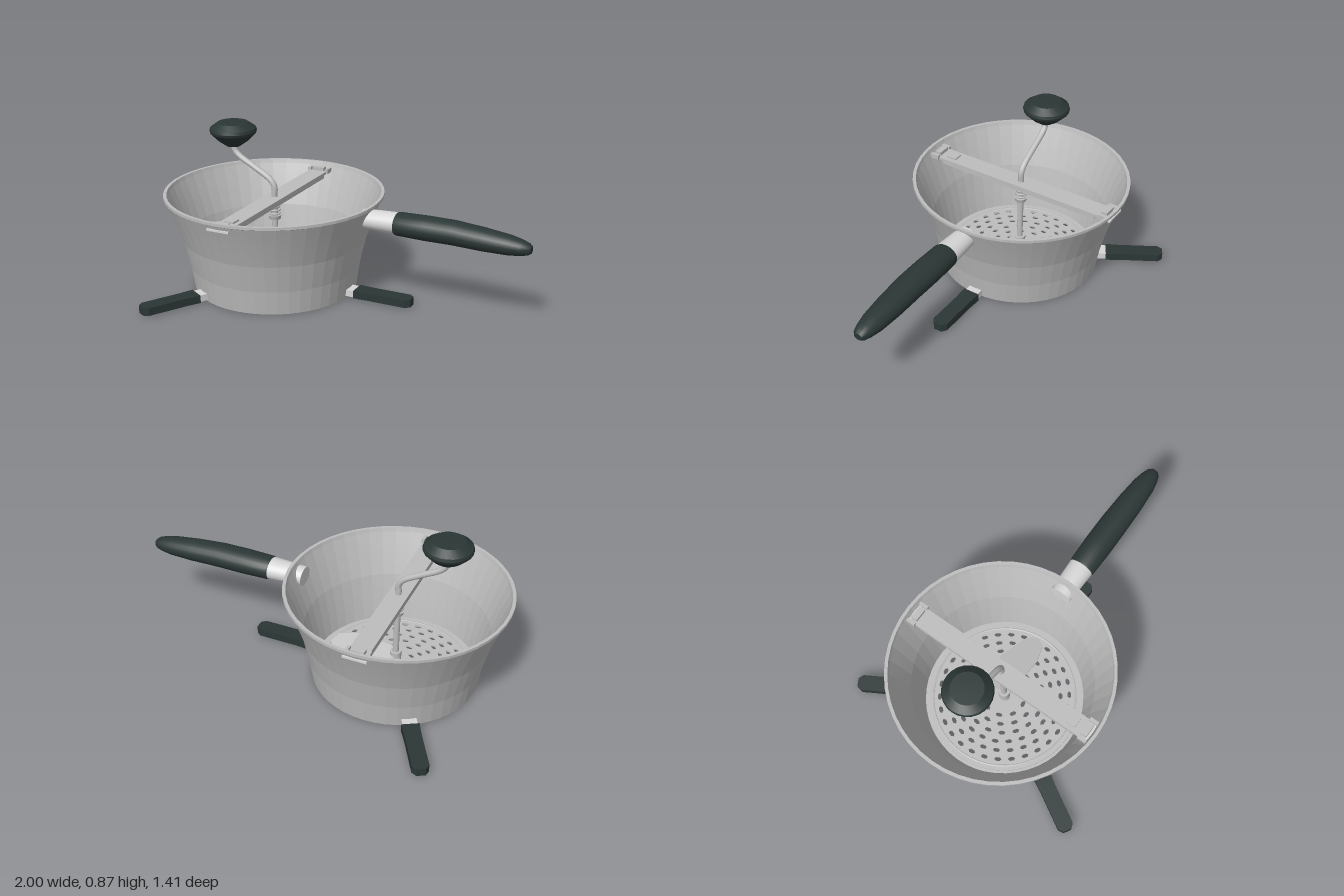
import * as THREE from 'three';
import { toCreasedNormals } from 'three/addons/utils/BufferGeometryUtils.js';

const steel = new THREE.MeshStandardMaterial({ color: 0xbdbdbd });
steel.name = 'steel';
const brightSteel = new THREE.MeshStandardMaterial({ color: 0xd6d6d6 });
brightSteel.name = 'bright steel';
const darkPlastic = new THREE.MeshStandardMaterial({ color: 0x2b3735 });
darkPlastic.name = 'dark plastic';

const CX = -0.415; // bowl axis

function add(parent, name, geometry, material, x = 0, y = 0, z = 0) {
  const mesh = new THREE.Mesh(geometry, material);
  mesh.name = name;
  mesh.position.set(x, y, z);
  parent.add(mesh);
  return mesh;
}

function lathe(points, segments, crease) {
  const profile = points.map(([r, y]) => new THREE.Vector2(r, y));
  return toCreasedNormals(new THREE.LatheGeometry(profile, segments), crease);
}

function plate(points, depth) {
  const shape = new THREE.Shape(points.map(([x, y]) => new THREE.Vector2(x, y)));
  return new THREE.ExtrudeGeometry(shape, { depth, bevelEnabled: false });
}

// Flared bowl: outside wall, rim, inside wall and the ledge holding the disc
function addBowl(mill) {
  add(mill, 'bowl', lathe([
    [0.395, 0], [0.438, 0], [0.457, 0.13], [0.492, 0.28], [0.533, 0.4], [0.575, 0.505],
    [0.585, 0.51], [0.585, 0.525], [0.568, 0.525], [0.562, 0.505], [0.521, 0.4],
    [0.48, 0.28], [0.445, 0.13], [0.427, 0.03], [0.395, 0.03], [0.395, 0],
  ], 48, 0.08), steel);
}

// Perforated disc with rings of small diamond-like holes
function addDisc(mill) {
  const shape = new THREE.Shape();
  shape.absarc(0, 0, 0.41, 0, Math.PI * 2);
  for (let ring = 0; ring < 6; ring++) {
    const r = 0.11 + ring * 0.048;
    const count = Math.round((Math.PI * 2 * r) / 0.074);
    for (let i = 0; i < count; i++) {
      const a = ((i + (ring % 2) / 2) / count) * Math.PI * 2;
      const hole = new THREE.Path();
      for (let k = 0; k < 6; k++) {
        const t = (-k / 6) * Math.PI * 2;
        const u = 0.012 * Math.sin(t);
        const v = 0.02 * Math.cos(t);
        const x = (r + u) * Math.cos(a) - v * Math.sin(a);
        const y = (r + u) * Math.sin(a) + v * Math.cos(a);
        if (k === 0) hole.moveTo(x, y);
        else hole.lineTo(x, y);
      }
      hole.closePath();
      shape.holes.push(hole);
    }
  }
  const geometry = new THREE.ExtrudeGeometry(shape, { depth: 0.008, bevelEnabled: false, curveSegments: 48 });
  geometry.rotateX(-Math.PI / 2);
  add(mill, 'perforatedDisc', geometry, steel, 0, 0.03, 0);
  // Pressed ridge around the holes
  const ridge = new THREE.TorusGeometry(0.385, 0.007, 6, 48).rotateX(Math.PI / 2);
  add(mill, 'discRidge', ridge, steel, 0, 0.034, 0);
  add(mill, 'discHub', new THREE.CylinderGeometry(0.03, 0.03, 0.022, 16), steel, 0, 0.035, 0);
}

// Shaft, collars, sloping blade, bent crank and knob
function addCrank(mill) {
  add(mill, 'shaft', new THREE.CylinderGeometry(0.016, 0.016, 0.48, 16), steel, 0, 0.28, 0);
  add(mill, 'lowerCollar', new THREE.CylinderGeometry(0.03, 0.03, 0.07, 16), steel, 0, 0.09, 0);
  for (let i = 0; i < 4; i++) {
    const coil = new THREE.TorusGeometry(0.026, 0.006, 6, 16).rotateX(Math.PI / 2);
    add(mill, 'springCoil', coil, steel, 0, 0.455 - i * 0.02, 0);
  }
  add(mill, 'upperCollar', new THREE.CylinderGeometry(0.036, 0.03, 0.022, 16), steel, 0, 0.375, 0);

  const blade = plate([
    [0, 0.08], [0.055, 0.13], [0.158, 0.15], [0.329, 0.085], [0.355, 0.03],
    [0.329, -0.02], [0.235, -0.05], [0.055, -0.035], [0, -0.03],
  ], 0.008).rotateX(-Math.PI / 2);
  const p = blade.attributes.position;
  for (let i = 0; i < p.count; i++) p.setY(i, p.getY(i) + 0.105 + p.getZ(i) * 0.38);
  blade.computeVertexNormals();
  add(mill, 'blade', blade, steel);

  const path = new THREE.CatmullRomCurve3([
    [0, 0.49], [0, 0.545], [-0.025, 0.58], [-0.12, 0.637],
    [-0.205, 0.685], [-0.235, 0.715], [-0.243, 0.76],
  ].map(([x, y]) => new THREE.Vector3(x, y, 0)));
  add(mill, 'crankArm', new THREE.TubeGeometry(path, 32, 0.016, 12), steel);
  add(mill, 'knob', lathe([
    [0, 0.74], [0.038, 0.74], [0.08, 0.77], [0.122, 0.812], [0.126, 0.825],
    [0.122, 0.84], [0.082, 0.868], [0, 0.87],
  ], 24, 0.35), darkPlastic, -0.243, 0, 0);
}

// Cross bar clipped under the rim at both ends
function addCrossBar(mill) {
  add(mill, 'crossBar', new THREE.BoxGeometry(0.105, 0.014, 1.08), steel, 0, 0.482, 0);
  for (const side of [-1, 1]) {
    add(mill, 'barFlange', new THREE.BoxGeometry(0.008, 0.02, 0.96), steel, side * 0.0485, 0.468, 0);
    add(mill, 'barTongue', new THREE.BoxGeometry(0.125, 0.01, 0.05), brightSteel, 0, 0.482, side * 0.55);
    add(mill, 'clipBlock', new THREE.BoxGeometry(0.07, 0.022, 0.035), steel, 0, 0.498, side * 0.525);
    for (const x of [-0.054, 0.054]) {
      add(mill, 'clipTab', new THREE.BoxGeometry(0.018, 0.026, 0.05), steel, x, 0.49, side * 0.53);
    }
  }
  add(mill, 'releaseButton', new THREE.BoxGeometry(0.056, 0.012, 0.056), steel, 0, 0.492, 0.44);
}

// Three feet spread evenly around the base
function addLegs(mill) {
  for (let i = 0; i < 3; i++) {
    const leg = new THREE.Group();
    leg.name = 'leg';
    leg.rotation.y = (i * Math.PI * 2) / 3;
    add(leg, 'legBracket', new THREE.BoxGeometry(0.07, 0.036, 0.076), brightSteel, 0.465, 0.028, 0);
    const foot = plate([
      [0.485, -0.046], [0.56, -0.042], [0.775, -0.042], [0.8, -0.022],
      [0.8, 0.022], [0.775, 0.042], [0.56, 0.042], [0.485, 0.046],
    ], 0.042).rotateX(-Math.PI / 2);
    add(leg, 'legFoot', foot, darkPlastic, 0, 0.008, 0);
    mill.add(leg);
  }
}

// Oval handle along +x, drooping a little toward its tip
function addHandle(group) {
  const oval = (points, crease) => {
    const g = lathe(points, 24, crease).rotateZ(-Math.PI / 2);
    return g.scale(1, 0.83, 1);
  };
  add(group, 'ferrule', oval([
    [0, 0.105], [0.058, 0.105], [0.064, 0.2], [0.068, 0.295], [0, 0.295],
  ], 0.5), brightSteel, 0, 0.448, 0);
  const grip = oval([
    [0, 0.29], [0.066, 0.29], [0.072, 0.305], [0.076, 0.45], [0.075, 0.6], [0.07, 0.76],
    [0.06, 0.89], [0.048, 0.95], [0.036, 0.985], [0.022, 1], [0, 1],
  ], 0.5);
  const p = grip.attributes.position;
  for (let i = 0; i < p.count; i++) {
    p.setY(i, p.getY(i) - 0.024 * Math.max(0, (p.getX(i) - 0.6) / 0.4));
  }
  add(group, 'grip', grip, darkPlastic, 0, 0.448, 0);
}

export function createModel() {
  const group = new THREE.Group();
  group.name = 'foodMill';
  const mill = new THREE.Group();
  mill.name = 'millBody';
  mill.position.x = CX;
  group.add(mill);
  addBowl(mill);
  addDisc(mill);
  addCrank(mill);
  addCrossBar(mill);
  addLegs(mill);
  addHandle(group);
  return group;
}
